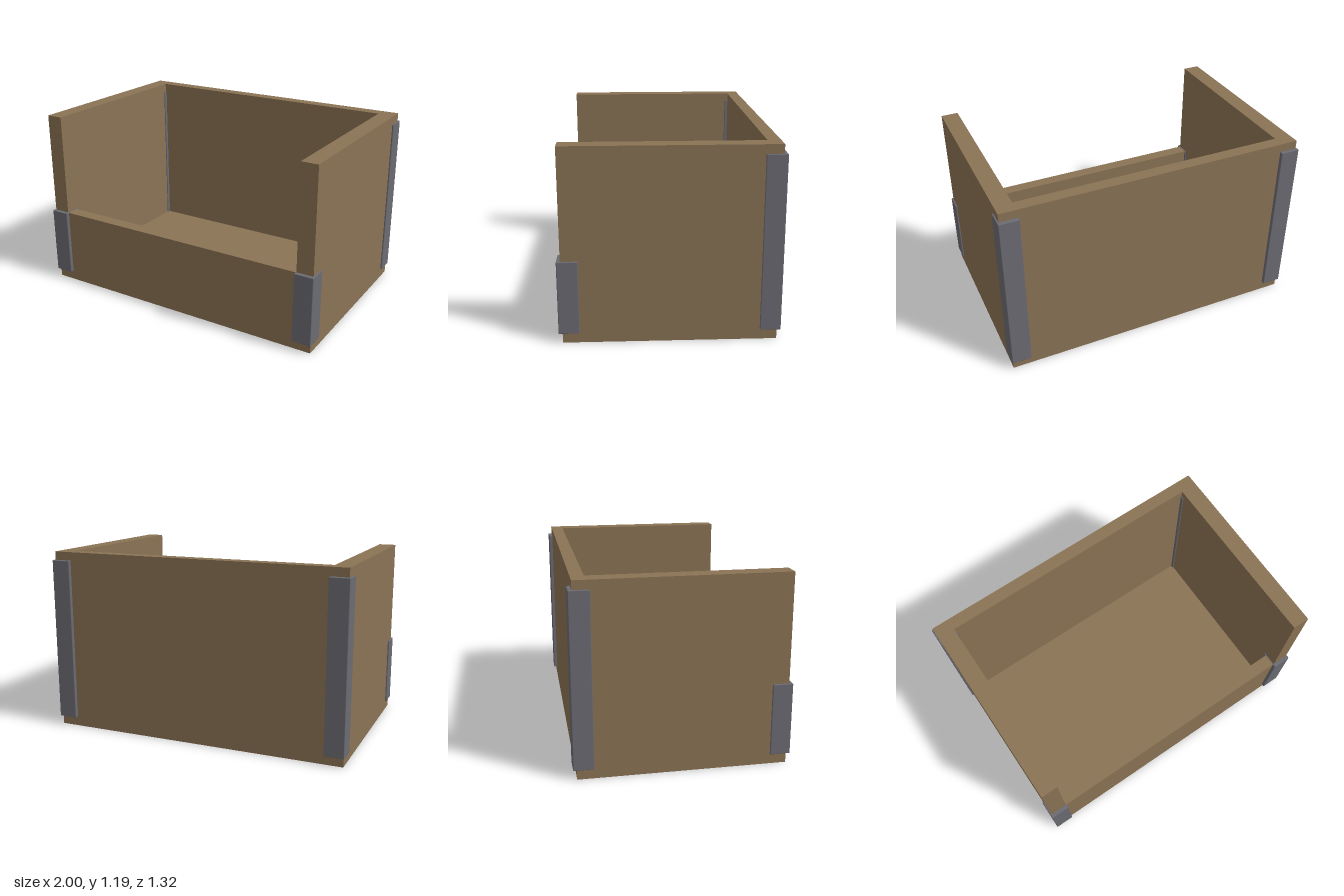
import * as THREE from 'three';
import { RoundedBoxGeometry } from 'three/addons/geometries/RoundedBoxGeometry.js';

export function createModel() {
  const group = new THREE.Group();
  const wood = new THREE.MeshStandardMaterial({ name: 'brown wood', color: 0x8b7355 });
  const metal = new THREE.MeshStandardMaterial({ name: 'grey metal', color: 0x6b6b73 });

  // Box given by its limits on each axis, with a tiny edge bevel
  function slab(name, material, [x0, x1], [y0, y1], [z0, z1], bevel) {
    const size = [x1 - x0, y1 - y0, z1 - z0];
    const geometry = bevel
      ? new RoundedBoxGeometry(...size, 1, bevel)
      : new THREE.BoxGeometry(...size);
    const mesh = new THREE.Mesh(geometry, material);
    mesh.name = name;
    mesh.position.set((x0 + x1) / 2, (y0 + y1) / 2, (z0 + z1) / 2);
    group.add(mesh);
  }

  const X = 0.99, Z = 0.637, innerX = 0.88, floorY = 0.11;
  const wallTop = 1.19, frontTop = 0.51;

  // Floor, tall back and low front
  slab('base', wood, [-X, X], [0, floorY], [-Z, Z]);
  slab('backPanel', wood, [-innerX, innerX], [floorY, wallTop], [-Z, -0.557]);
  slab('frontPanel', wood, [-innerX, innerX], [floorY, frontTop], [0.553, Z]);

  // Side walls and the corner posts that run through them
  for (const [side, s] of [['left', 1], ['right', -1]]) {
    const span = (a, b) => (s > 0 ? [a, b] : [-b, -a]);
    slab(side + 'Panel', wood, span(innerX, X), [floorY, wallTop], [-Z, Z]);
    slab(side + 'FrontPost', metal, span(0.873, 1), [0.06, frontTop + 0.002], [0.535, 0.66], 0.005);
    slab(side + 'BackPost', metal, span(0.873, 1), [0.06, 1.135], [-0.66, -0.535], 0.005);
  }

  return group;
}
